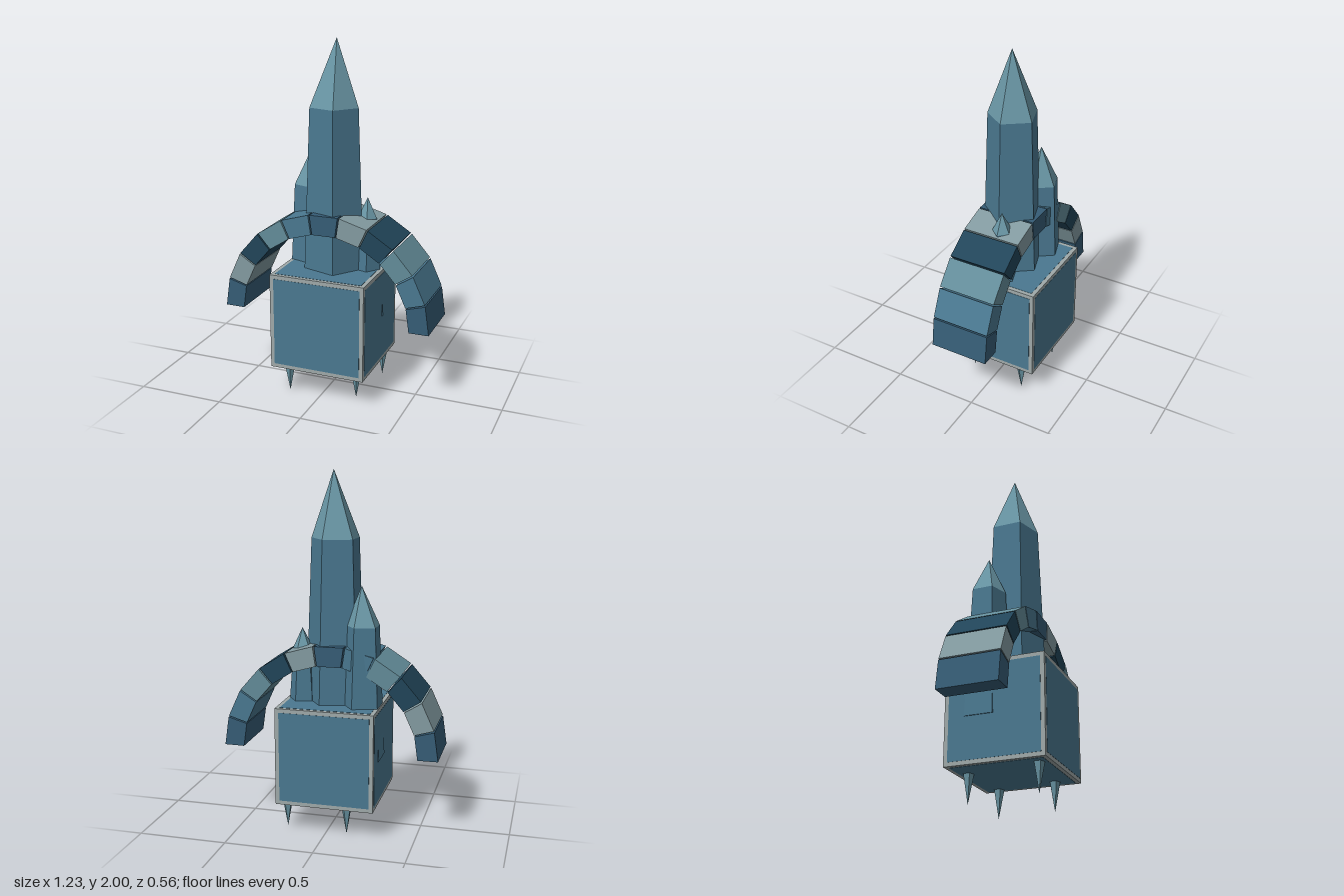
import * as THREE from 'three';

const mat = (color) => new THREE.MeshStandardMaterial({ color, flatShading: true });
const stone = mat(0x9fa9a9), blue = mat(0x4a7890), teal = mat(0x6a97a6);
// arch stones repeat these five tones
const archTones = [0x365d76, 0x839ba1, 0x214559, 0x638c99, 0x4a7890].map(mat);

function add(parent, name, geometry, material, x = 0, y = 0, z = 0) {
  const mesh = new THREE.Mesh(geometry, material);
  mesh.name = name;
  mesh.position.set(x, y, z);
  parent.add(mesh);
  return mesh;
}

// Five-sided tapering shaft with a pointed cap; one corner faces +x
function crystal(name, x, z, bottom, shoulder, top, rBottom, rTop, lean) {
  const g = new THREE.Group();
  g.name = name;
  const h = shoulder - bottom, capH = top - shoulder;
  add(g, 'shaft', new THREE.CylinderGeometry(rTop, rBottom, h, 5, 1, false, Math.PI / 2), blue, 0, bottom + h / 2);
  const cap = new THREE.CylinderGeometry(0, rTop, capH, 5, 1, false, Math.PI / 2);
  const p = cap.attributes.position;
  for (let i = 0; i < p.count; i++) if (p.getY(i) > 0) p.setX(i, p.getX(i) + lean);
  cap.computeVertexNormals();
  add(g, 'cap', cap, teal, 0, shoulder + capH / 2);
  g.position.set(x, 0, z);
  return g;
}

// One wedge-shaped arch stone, centred on angle a
function archStone(a, half, inner, outer, depth) {
  const pt = (r, t) => new THREE.Vector2(r * Math.cos(t), r * Math.sin(t));
  const shape = new THREE.Shape([pt(inner, a - half), pt(outer, a - half), pt(outer, a + half), pt(inner, a + half)]);
  const geo = new THREE.ExtrudeGeometry(shape, { depth, bevelEnabled: false });
  return geo.translate(0, 0, -depth / 2);
}

export function createModel() {
  const model = new THREE.Group();
  model.name = 'crystalShrine';

  // Base block with a thin panel on each of its six faces
  const size = 0.555, midY = 0.44, panel = 0.51, proud = size + 0.003;
  add(model, 'baseBlock', new THREE.BoxGeometry(size, size, size), stone, 0, midY);
  add(model, 'sidePanels', new THREE.BoxGeometry(proud, panel, panel), blue, 0, midY);
  add(model, 'topAndBottomPanels', new THREE.BoxGeometry(panel, proud, panel), blue, 0, midY);
  add(model, 'frontAndBackPanels', new THREE.BoxGeometry(panel, panel, proud), blue, 0, midY);

  // Crystals growing out of the block
  model.add(crystal('mainCrystal', 0, 0, 0.44, 1.63, 2, 0.185, 0.14, 0.013));
  model.add(crystal('rightCrystal', -0.175, -0.085, 0.42, 1.165, 1.385, 0.135, 0.098, 0.01));
  model.add(crystal('leftCrystal', 0.183, -0.033, 0.44, 1.015, 1.13, 0.102, 0.057, 0.003));

  // Arch of eleven separate stones spanning the block
  const arch = new THREE.Group();
  arch.name = 'arch';
  const count = 11, step = Math.PI / count;
  for (let i = 0; i < count; i++) {
    const a = Math.PI - (i + 0.5) * step;
    add(arch, 'archStone', archStone(a, step / 2 - 0.007, 0.5, 0.613, 0.335), archTones[i % 5]);
  }
  arch.position.y = 0.445;
  model.add(arch);

  // Spikes under the block
  for (const [x, z] of [[0.195, 0.155], [0.235, -0.185], [-0.115, -0.21], [-0.19, 0.21]]) {
    const spike = new THREE.ConeGeometry(0.034, 0.18, 5, 1, false, Math.PI / 2);
    add(model, 'spike', spike, teal, x, 0.09, z).rotation.x = Math.PI;
  }
  return model;
}
